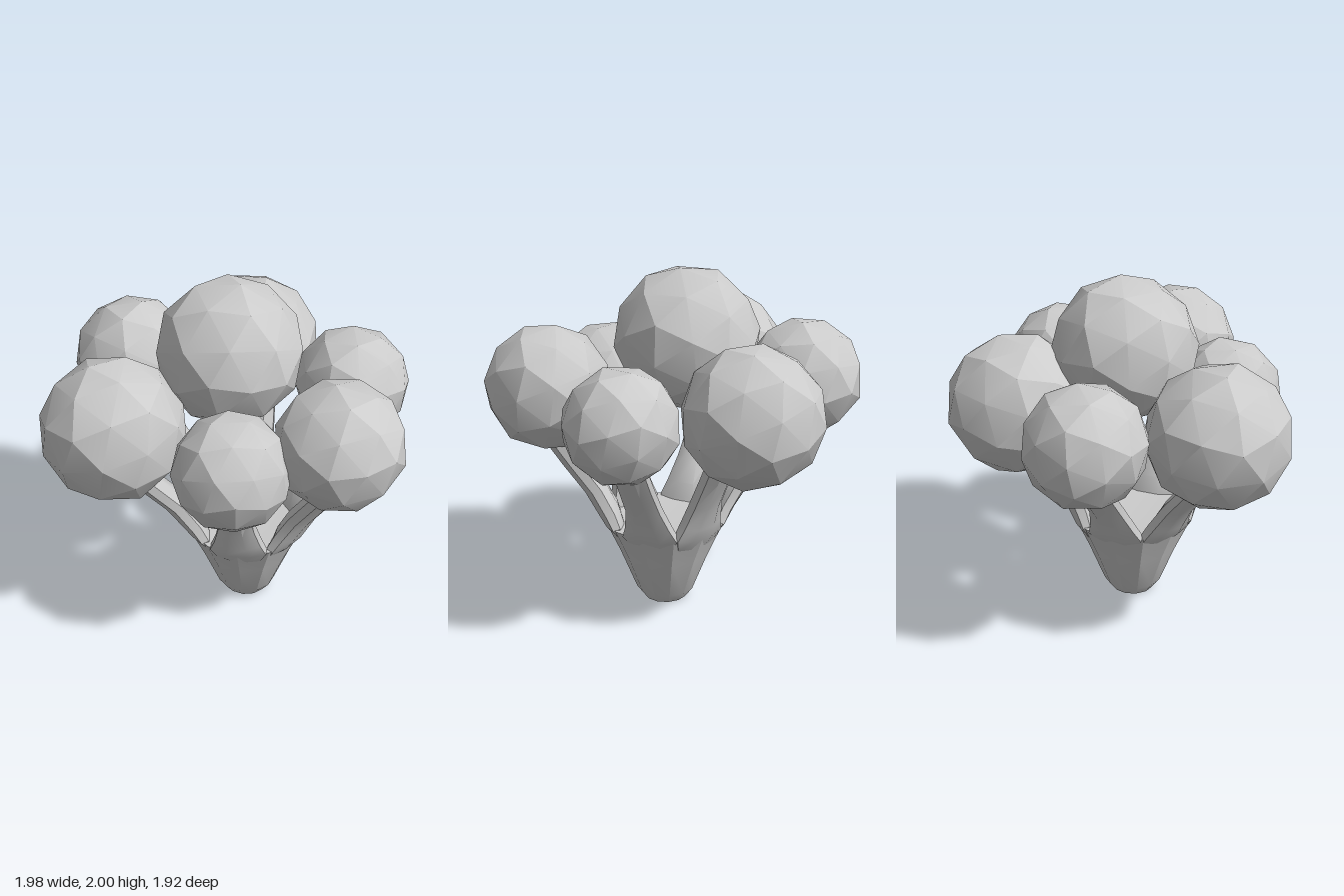
import * as THREE from 'three';
import { toCreasedNormals } from 'three/addons/utils/BufferGeometryUtils.js';

const CX = 0.08, CZ = 0.1; // stem axis

// Florets: x, y, z, radius
const florets = [
  ['topFloret', -0.03, 1.59, 0.03, 0.415],
  ['backFloret', 0.0, 1.29, -0.57, 0.4],
  ['backRightFloret', -0.64, 1.31, -0.28, 0.345],
  ['backLeftFloret', 0.63, 1.29, -0.23, 0.325],
  ['frontRightFloret', -0.6, 1.29, 0.44, 0.405],
  ['frontLeftFloret', 0.63, 1.33, 0.45, 0.36],
  ['frontFloret', 0.08, 1.23, 0.64, 0.325],
];

// Where each branch axis passes at y = 1.05: x, z
const branches = [
  ['frontBranch', 0.08, 0.61],
  ['backBranch', 0.08, -0.43],
  ['frontLeftBranch', 0.62, 0.42],
  ['backLeftBranch', 0.62, -0.29],
  ['frontRightBranch', -0.55, 0.42],
  ['backRightBranch', -0.55, -0.25],
];

// Branch sections: height, share of the way outward, half width, half thickness
const sections = [
  [0.42, -0.12, 0.13, 0.03],
  [0.5, 0, 0.165, 0.05],
  [0.58, 0.1, 0.135, 0.06],
  [0.72, 0.32, 0.102, 0.062],
  [0.9, 0.7, 0.095, 0.062],
  [1.15, 1.2, 0.09, 0.06],
];

// Loft of eight-sided rings leaning outward from the stem
function branchGeometry(x, z) {
  const n = 8, pos = [], index = [];
  const reach = Math.hypot(x - CX, z - CZ);
  const dx = (x - CX) / reach, dz = (z - CZ) / reach;
  for (const [y, t, w, d] of sections) {
    const r = THREE.MathUtils.lerp(0.3, reach, t);
    for (let i = 0; i < n; i++) {
      const a = ((i + 0.5) / n) * Math.PI * 2;
      const out = r + Math.cos(a) * d * 1.05, side = Math.sin(a) * w * 1.05;
      pos.push(CX + dx * out - dz * side, y - Math.cos(a) * d * 0.4, CZ + dz * out + dx * side);
    }
  }
  for (let j = 0; j < sections.length - 1; j++) {
    for (let i = 0; i < n; i++) {
      const a = j * n + i, b = j * n + ((i + 1) % n);
      index.push(a, a + n, b, b, a + n, b + n);
    }
  }
  // End cap
  const last = (sections.length - 1) * n;
  for (let i = 1; i < n - 1; i++) index.push(last, last + i + 1, last + i);
  const g = new THREE.BufferGeometry();
  g.setAttribute('position', new THREE.Float32BufferAttribute(pos, 3));
  g.setIndex(index);
  return g;
}

export function createModel() {
  const group = new THREE.Group();
  const material = new THREE.MeshStandardMaterial({ color: 0xcccccc, side: THREE.DoubleSide });
  const add = (name, geometry, crease) => {
    const mesh = new THREE.Mesh(toCreasedNormals(geometry, crease), material);
    mesh.name = name;
    group.add(mesh);
    return mesh;
  };

  // Flared stem with a shallow hollow on top
  const profile = [[0, 0], [0.125, 0], [0.17, 0.06], [0.265, 0.3], [0.355, 0.5], [0.25, 0.5], [0, 0.46]]
    .map(([r, y]) => new THREE.Vector2(r, y));
  add('stem', new THREE.LatheGeometry(profile, 12), 0.4).position.set(CX, 0, CZ);

  for (const [name, x, z] of branches) add(name, branchGeometry(x, z), 0.6);

  // Faceted florets, each turned a little differently
  florets.forEach(([name, x, y, z, r], i) => {
    const floret = add(name, new THREE.IcosahedronGeometry(r, 1), 0.345);
    floret.position.set(x, y, z);
    floret.rotation.set(0.5 + i * 0.13, i * 0.9, 0.2);
  });
  return group;
}
